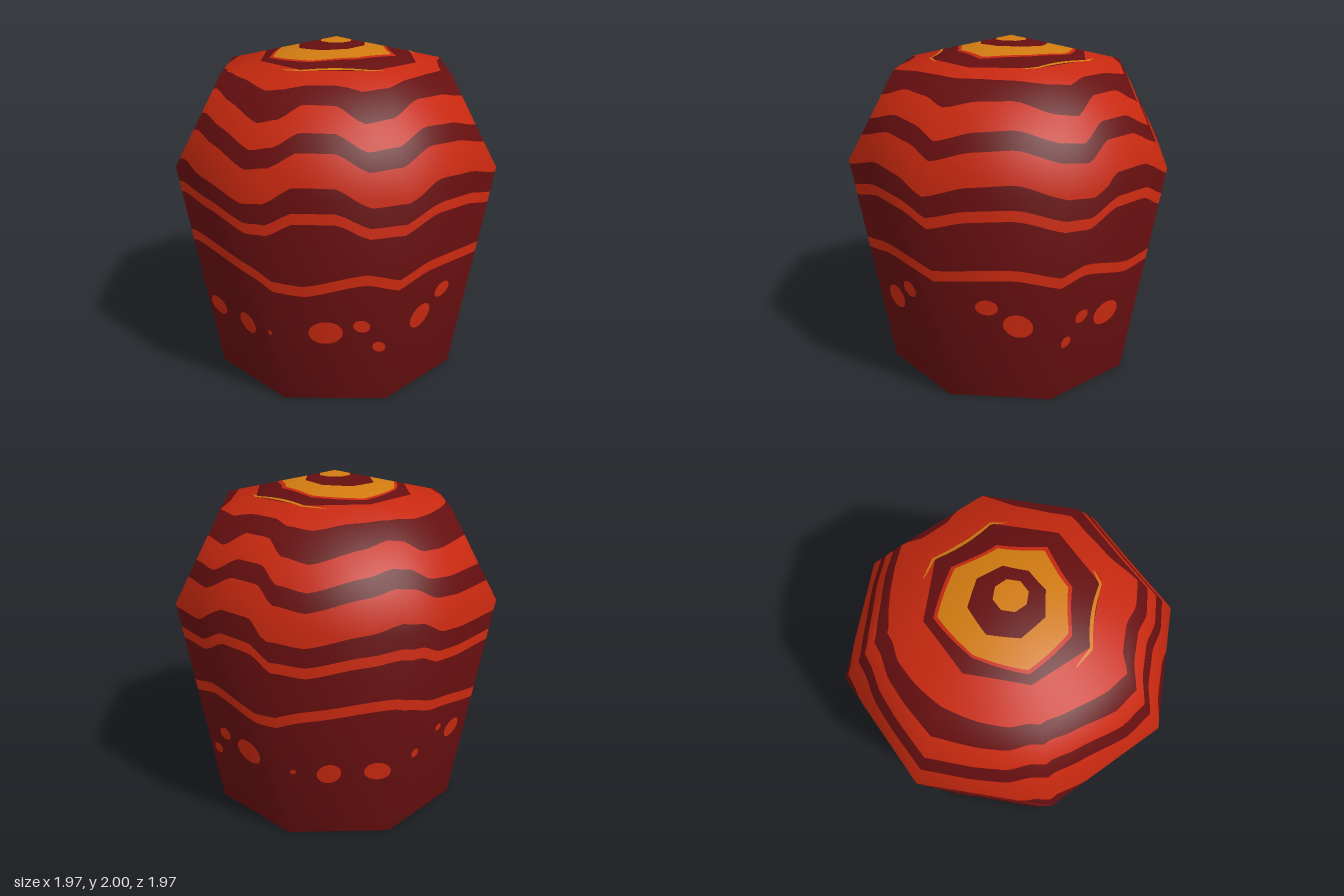
import * as THREE from 'three';

const mat = (name, color) => {
  const m = new THREE.MeshStandardMaterial({ color, side: THREE.DoubleSide });
  m.name = name;
  return m;
};

// Shell profile. h is the height up to the cap rim; above it, h grows as the radius shrinks.
// Each ring: h, radius, y, outward part of normal, upward part of normal
const RINGS = [
  [0, 0.77, 0, 0.987, -0.162],
  [1.32, 0.987, 1.32, 0.97, 0.18],
  [1.83, 0.7, 1.83, 0.56, 0.83],
  [2.53, 0, 2, 0, 1],
];
const TOP = 2.53;
const corner = (k) => [Math.cos((k * Math.PI) / 4), Math.sin((k * Math.PI) / 4)];

// Point and smooth normal on the eight-sided shell; u counts corners round from +x to +z
function shell(u, h, offset) {
  const i = h < RINGS[1][0] ? 0 : h < RINGS[2][0] ? 1 : 2;
  const a = RINGS[i], b = RINGS[i + 1];
  const t = (h - a[0]) / (b[0] - a[0]);
  const [, r, y, nr, ny] = a.map((v, k) => v + (b[k] - v) * t);
  const k = Math.floor(u), f = u - k;
  const c0 = corner(k), c1 = corner(k + 1);
  const cx = c0[0] + (c1[0] - c0[0]) * f, cz = c0[1] + (c1[1] - c0[1]) * f;
  const n = new THREE.Vector3(cx * nr, ny, cz * nr).normalize();
  return { p: new THREE.Vector3(cx * r, y, cz * r).addScaledVector(n, offset), n };
}

// Patch on the shell from a grid rule (i, j) -> [u, h]
function patch(cols, rows, rule, offset = 0) {
  const pos = [], nor = [], idx = [];
  for (let i = 0; i <= cols; i++) {
    for (let j = 0; j <= rows; j++) {
      const { p, n } = shell(...rule(i, j), offset);
      pos.push(p.x, p.y, p.z);
      nor.push(n.x, n.y, n.z);
      if (i < cols && j < rows) {
        const a = i * (rows + 1) + j, b = a + rows + 1;
        idx.push(a, a + 1, b + 1, a, b + 1, b);
      }
    }
  }
  const g = new THREE.BufferGeometry();
  g.setAttribute('position', new THREE.Float32BufferAttribute(pos, 3));
  g.setAttribute('normal', new THREE.Float32BufferAttribute(nor, 3));
  g.setIndex(idx);
  return g;
}

// Front and back mirror each other
const mirror = (u) => (u <= 4 ? u : 8 - u);

// Smooth wavy line through (u, h) samples
function wave(us, hs) {
  return (u) => {
    const m = mirror(u);
    let i = 0;
    while (i < us.length - 2 && m > us[i + 1]) i++;
    const t = (m - us[i]) / (us[i + 1] - us[i]);
    const s = (t + t * t * (3 - 2 * t)) / 2;
    return hs[i] + (hs[i + 1] - hs[i]) * s;
  };
}

// Ripple shared by the upper bands, and the calmer line of the lowest band
const ripple = wave(
  [0, 0.3, 0.65, 1, 1.25, 1.5, 1.8, 2, 2.25, 2.7, 2.95, 3.1, 3.35, 3.6, 4],
  [-0.015, 0.03, 0.045, -0.01, -0.035, 0.05, 0.055, -0.015, -0.055, 0.01, 0.055, 0.04, -0.04, -0.055, -0.045],
);
const lowLine = wave(
  [0, 0.65, 1, 1.25, 1.75, 2.25, 2.95, 3.4, 4],
  [0.815, 0.835, 0.8, 0.83, 0.755, 0.825, 0.9, 0.79, 0.725],
);

// Band edges: rippled on the walls (lifted towards the two sides), lopsided rings on the cap
const side = (h, amount = 1, lift = 0) => (u) => h + ripple(u) * amount + lift * ((mirror(u) - 2) / 2) ** 4;
const ring = (r, tilt = 0, skew = 0) => (u) => {
  const a = (mirror(u) * Math.PI) / 4;
  return TOP - r - tilt * Math.cos(a) + skew * Math.sin(2 * a);
};

export function createModel() {
  const group = new THREE.Group();
  const dark = mat('dark maroon', 0x650e0f);
  const red = mat('lava red', 0xc6280f);
  const orange = mat('glowing orange', 0xd07a10);
  const add = (name, geometry, material) => {
    const mesh = new THREE.Mesh(geometry, material);
    mesh.name = name;
    group.add(mesh);
  };

  // Each band from the open base to the peak: name, colour, upper edge
  const bands = [
    ['baseWall', dark, (u) => lowLine(u) - 0.033],
    ['lowStripe', red, (u) => lowLine(u) + 0.033],
    ['lowerWall', dark, side(1.12)],
    ['middleStripe', red, side(1.185)],
    ['middleWall', dark, side(1.31, 1.15)],
    ['shoulderStripe', red, side(1.477)],
    ['shoulderBand', dark, side(1.57)],
    ['upperStripe', red, side(1.7, 1, 0.03)],
    ['rimBand', dark, side(1.835, 0.6, 0.07)],
    ['capStripe', red, ring(0.475, 0.015)],
    ['capBand', dark, ring(0.37, 0, 0.04)],
    ['ringEdge', red, ring(0.348, -0.008, 0.035)],
    ['outerRing', orange, ring(0.207, -0.03)],
    ['innerRing', dark, ring(0.095)],
    ['peak', orange, () => TOP],
  ];

  // Extra rows follow the shell's two creases
  let lower = () => 0;
  for (const [name, material, upper] of bands) {
    const bottom = lower;
    const rule = (i, j) => {
      const u = i / 16, lo = bottom(u), hi = upper(u);
      const rows = [lo, THREE.MathUtils.clamp(1.32, lo, hi), THREE.MathUtils.clamp(1.83, lo, hi), hi];
      return [u, rows[j]];
    };
    add(name, patch(128, 3, rule), material);
    lower = upper;
  }

  // Thin orange streaks on the cap, front and back
  for (const start of [0.74, 5.65]) {
    const rule = (i, j) => {
      const u = start + (i / 48) * 1.61;
      const r = 0.465 + 0.05 * ((mirror(u) - 1.5) / 0.8) ** 2;
      const width = 0.022 * Math.sqrt(Math.abs(Math.sin((Math.PI * i) / 48)));
      return [u, TOP - r + (j - 0.5) * width];
    };
    add('capStreak', patch(48, 1, rule, 0.003), orange);
  }

  // Spots round the lower wall: u, height, half width in u
  const spots = [
    [0.41, 0.625, 0.09], [0.67, 0.51, 0.13], [1.12, 0.385, 0.06], [1.28, 0.525, 0.072],
    [1.585, 0.48, 0.14], [2.1, 0.455, 0.027], [2.41, 0.435, 0.11], [2.83, 0.45, 0.11],
    [3.23, 0.505, 0.05], [3.53, 0.6, 0.04], [3.75, 0.54, 0.1],
  ];
  for (const [u, h, w] of spots) {
    for (const dir of [1, -1]) {
      const rule = (i, j) => {
        const a = (-dir * i * Math.PI) / 10;
        const size = j * w * (1 + 0.06 * Math.sin(2 * a + u * 5));
        const spotU = u + Math.cos(a) * size;
        return [dir > 0 ? spotU : 8 - spotU, h + Math.sin(a) * size * 0.57];
      };
      // Seen both outside and inside the open shell
      for (const offset of [0.004, -0.004]) add('spot', patch(20, 1, rule, offset), red);
    }
  }
  return group;
}
